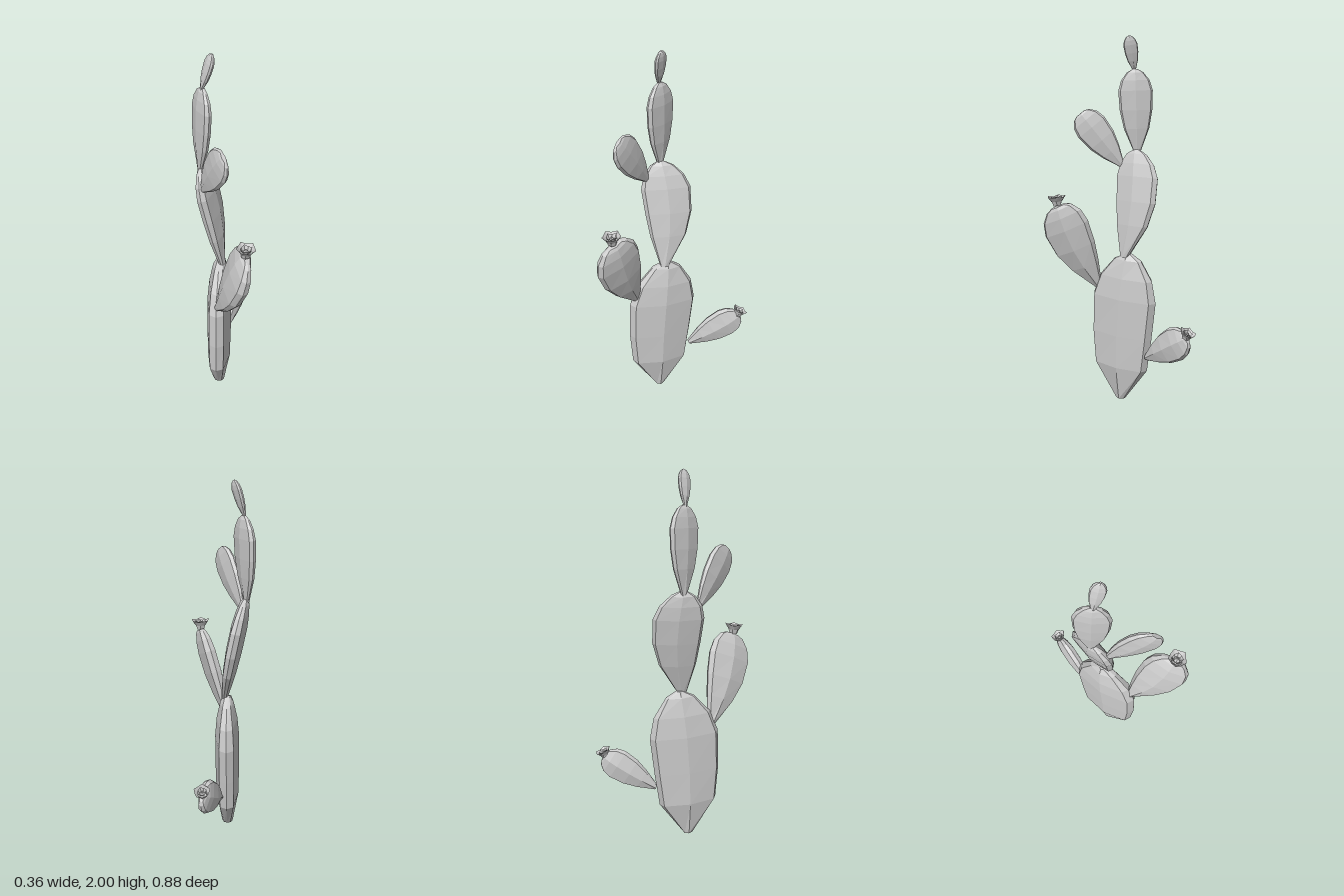
import * as THREE from 'three';

const material = new THREE.MeshStandardMaterial({ color: 0xcccccc, flatShading: true, side: THREE.DoubleSide });
const V = (a) => new THREE.Vector3(...a);

// Pad outlines: [position along pad, width factor, thickness factor]
const TRUNK = [[0, 0.13, 0.45], [0.23, 0.84, 0.95], [0.45, 0.95, 1], [0.7, 1, 1], [0.84, 0.82, 0.85], [0.96, 0.42, 0.55], [1, 0.08, 0.3]];
const LEAF = [[0, 0.16, 0.4], [0.3, 0.74, 0.85], [0.52, 0.95, 1], [0.75, 1, 1], [0.87, 0.82, 0.85], [0.96, 0.48, 0.6], [1, 0.14, 0.3]];
const BLUNT = [[0, 0.14, 0.4], [0.28, 0.63, 0.8], [0.5, 0.9, 1], [0.74, 1, 1], [0.88, 0.87, 0.85], [0.97, 0.58, 0.6], [1, 0.32, 0.4]];

// Flattened eight-sided pad from base to tip; facing is the rough direction of its broad side,
// bend shifts its middle sideways
function makePad({ name, base, tip, facing, width, thick, outline, bend = 0 }) {
  const start = V(base);
  const axis = V(tip).sub(start);
  const dir = axis.clone().normalize();
  const normal = V(facing);
  normal.addScaledVector(dir, -normal.dot(dir)).normalize();
  const side = dir.clone().cross(normal);

  const rows = outline.length - 1;
  const geo = new THREE.CylinderGeometry(1, 1, 1, 8, rows);
  const pos = geo.attributes.position;
  const warp = (v, power) => (Math.abs(v) < 1e-6 ? 0 : Math.sign(v) * Math.abs(v) ** power);
  const p = new THREE.Vector3();
  for (let i = 0; i < pos.count; i++) {
    const [t, w, d] = outline[Math.round((pos.getY(i) + 0.5) * rows)];
    p.copy(start).addScaledVector(axis, t)
      .addScaledVector(side, warp(pos.getX(i), 0.37) * w * width / 2 + bend * Math.sin(Math.PI * t))
      .addScaledVector(normal, warp(pos.getZ(i), 1.5) * d * thick / 2);
    pos.setXYZ(i, p.x, p.y, p.z);
  }
  geo.computeVertexNormals();
  const mesh = new THREE.Mesh(geo, material);
  mesh.name = name;
  return mesh;
}

// Cup of pointed petals: the rim alternates between tips and notches
function makePetals(name, petals, bottom, rim, height) {
  const geo = new THREE.CylinderGeometry(rim, bottom, height, petals * 2, 1, true);
  geo.translate(0, height / 2, 0);
  const pos = geo.attributes.position;
  for (let i = 0; i < pos.count; i++) {
    const column = i % (petals * 2 + 1);
    if (pos.getY(i) > height / 2 && column % 2) {
      pos.setXYZ(i, pos.getX(i) * 0.86, height * 0.75, pos.getZ(i) * 0.86);
    }
  }
  geo.computeVertexNormals();
  const mesh = new THREE.Mesh(geo, material);
  mesh.name = name;
  return mesh;
}

function makeFlower(name, at, up, size) {
  const flower = new THREE.Group();
  flower.name = name;
  const stem = new THREE.Mesh(new THREE.CylinderGeometry(0.03, 0.022, 0.025, 6), material);
  stem.name = 'flowerStem';
  stem.position.y = 0.01;
  const outer = makePetals('outerPetals', 5, 0.03, 0.052, 0.03);
  outer.position.y = 0.022;
  const inner = makePetals('innerPetals', 4, 0.018, 0.032, 0.025);
  inner.position.y = 0.024;
  inner.rotation.y = 0.4;
  const bud = new THREE.Mesh(new THREE.ConeGeometry(0.02, 0.025, 5), material);
  bud.name = 'flowerBud';
  bud.position.y = 0.034;
  flower.add(stem, outer, inner, bud);
  flower.position.set(...at);
  flower.quaternion.setFromUnitVectors(new THREE.Vector3(0, 1, 0), V(up).normalize());
  flower.scale.setScalar(size);
  return flower;
}

export function createModel() {
  const cactus = new THREE.Group();
  cactus.name = 'cactus';

  const pads = [
    { name: 'trunkPad', base: [-0.04, 0, 0.05], tip: [-0.035, 0.84, 0], facing: [1, 0, 0], width: 0.385, thick: 0.135, outline: TRUNK, bend: -0.016 },
    { name: 'middlePad', base: [-0.02, 0.82, 0.02], tip: [-0.13, 1.4, 0], facing: [1, 0, 0.15], width: 0.268, thick: 0.085, outline: LEAF, bend: 0.034 },
    { name: 'upperPad', base: [-0.135, 1.38, 0], tip: [-0.115, 1.83, 0.005], facing: [0.87, 0, -0.49], width: 0.185, thick: 0.062, outline: LEAF },
    { name: 'topPad', base: [-0.12, 1.82, 0.01], tip: [-0.065, 2, 0.015], facing: [0.87, 0, -0.5], width: 0.075, thick: 0.036, outline: LEAF },
    { name: 'upperFrontPad', base: [-0.115, 1.31, 0.08], tip: [0.012, 1.595, 0.27], facing: [0.21, 0, -0.14], width: 0.182, thick: 0.055, outline: BLUNT },
    { name: 'lowerFrontPad', base: [-0.03, 0.64, 0.185], tip: [0.13, 1.1, 0.345], facing: [0.42, -0.1, -0.15], width: 0.265, thick: 0.1, outline: BLUNT, bend: -0.022 },
    { name: 'lowerBackPad', base: [-0.005, 0.275, -0.125], tip: [0.08, 0.455, -0.4], facing: [0.27, 0, 0.08], width: 0.182, thick: 0.078, outline: BLUNT },
  ];
  for (const pad of pads) cactus.add(makePad(pad));

  cactus.add(
    makeFlower('frontFlower', [0.127, 1.105, 0.353], [0.05, 1, 0.08], 1),
    makeFlower('backFlower', [0.078, 0.452, -0.39], [0.06, 0.88, -0.42], 0.86),
  );
  return cactus;
}
